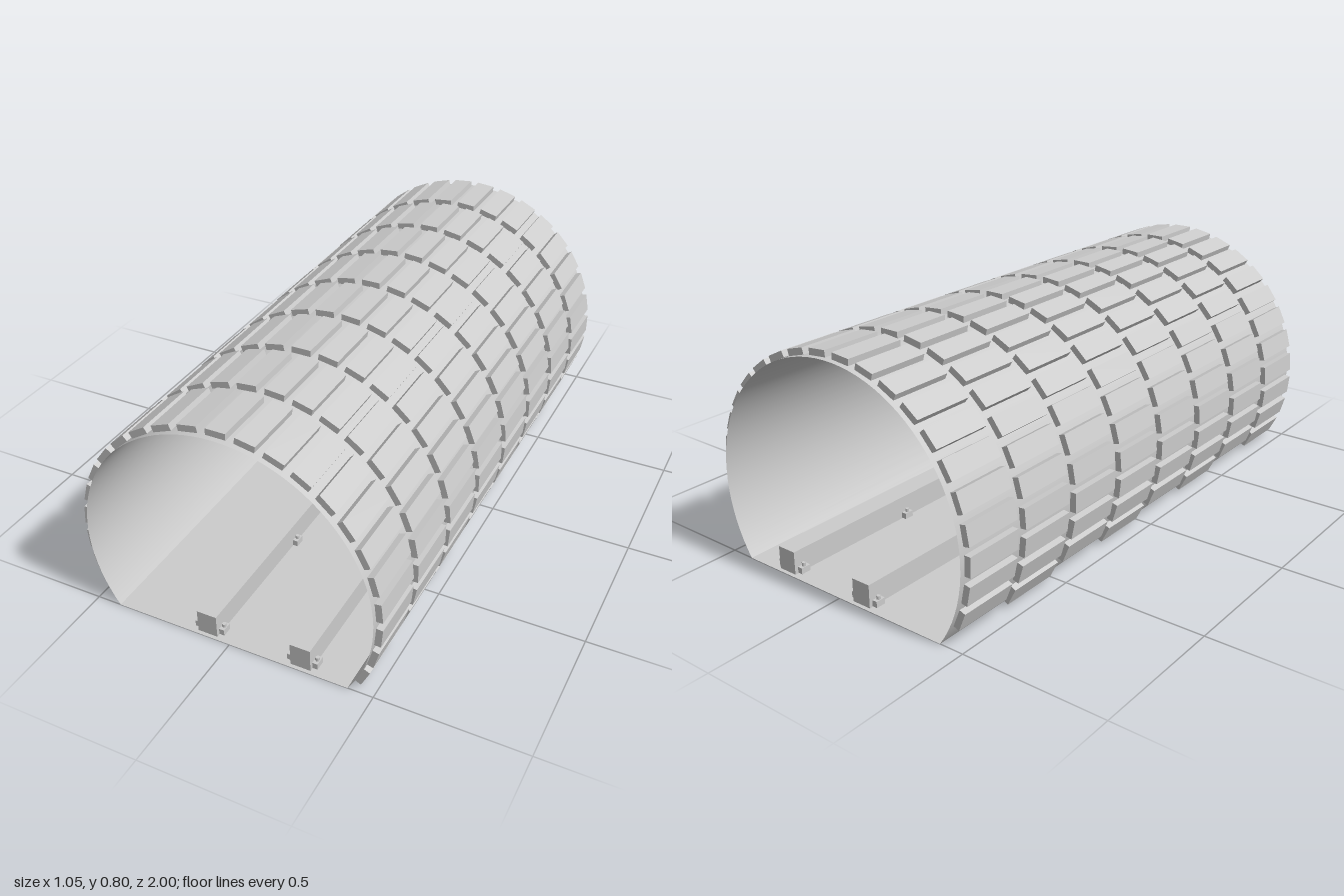
import * as THREE from 'three';

const R = 0.5;          // shell radius
const CY = 0.28;        // height of the shell axis
const LENGTH = 2;

export function createModel() {
  const model = new THREE.Group();
  const grey = new THREE.MeshStandardMaterial({ color: 0xcccccc });
  const thin = new THREE.MeshStandardMaterial({ color: 0xcccccc, side: THREE.DoubleSide });

  function add(parent, name, geometry, x, y, z, material = grey) {
    const mesh = new THREE.Mesh(geometry, material);
    mesh.name = name;
    mesh.position.set(x, y, z);
    parent.add(mesh);
    return mesh;
  }

  // Open arched shell, cut off by the ground
  const half = Math.PI - Math.acos(CY / R);
  const shell = new THREE.CylinderGeometry(R, R, LENGTH, 64, 1, true, Math.PI - half, half * 2);
  shell.rotateX(Math.PI / 2);
  add(model, 'tunnelShell', shell, 0, CY, 0, thin);

  // Flat floor closing the arch
  const floor = new THREE.PlaneGeometry(2 * R * Math.sin(half), LENGTH);
  floor.rotateX(-Math.PI / 2);
  add(model, 'floor', floor, 0, 0, 0, thin);

  // Rings of cladding blocks, staggered by half a pitch
  const block = new THREE.BoxGeometry(0.067, 0.022, 0.215);
  const pitch = THREE.MathUtils.degToRad(10.62);
  for (let row = 0; row < 8; row++) {
    const ring = new THREE.Group();
    ring.name = 'blockRing';
    const shift = row % 2 ? 0.5 : 0;
    for (let i = -12; i <= 11; i++) {
      const a = (i + shift) * pitch;
      if (Math.abs(a) > 11.1 * pitch) continue;
      const r = R + 0.011;
      const mesh = add(ring, 'block', block, r * Math.sin(a), CY + r * Math.cos(a), 0);
      mesh.rotation.z = -a;
    }
    ring.position.z = 0.875 - row * 0.25;
    model.add(ring);
  }

  // Two rails held down by bolted clips
  const beam = new THREE.BoxGeometry(0.07, 0.08, 1.98);
  const plate = new THREE.BoxGeometry(0.106, 0.021, 0.035);
  const bolt = new THREE.CylinderGeometry(0.007, 0.007, 0.022, 6);
  for (const x of [-0.085, 0.248]) {
    const rail = new THREE.Group();
    rail.name = 'rail';
    rail.position.x = x;
    add(rail, 'railBeam', beam, 0, 0.043, 0);
    for (let i = -2; i <= 2; i++) {
      const z = i * 0.48;
      add(rail, 'clipPlate', plate, 0, 0.0155, z);
      for (const side of [-1, 1]) add(rail, 'clipBolt', bolt, side * 0.044, 0.027, z);
    }
    model.add(rail);
  }
  return model;
}
